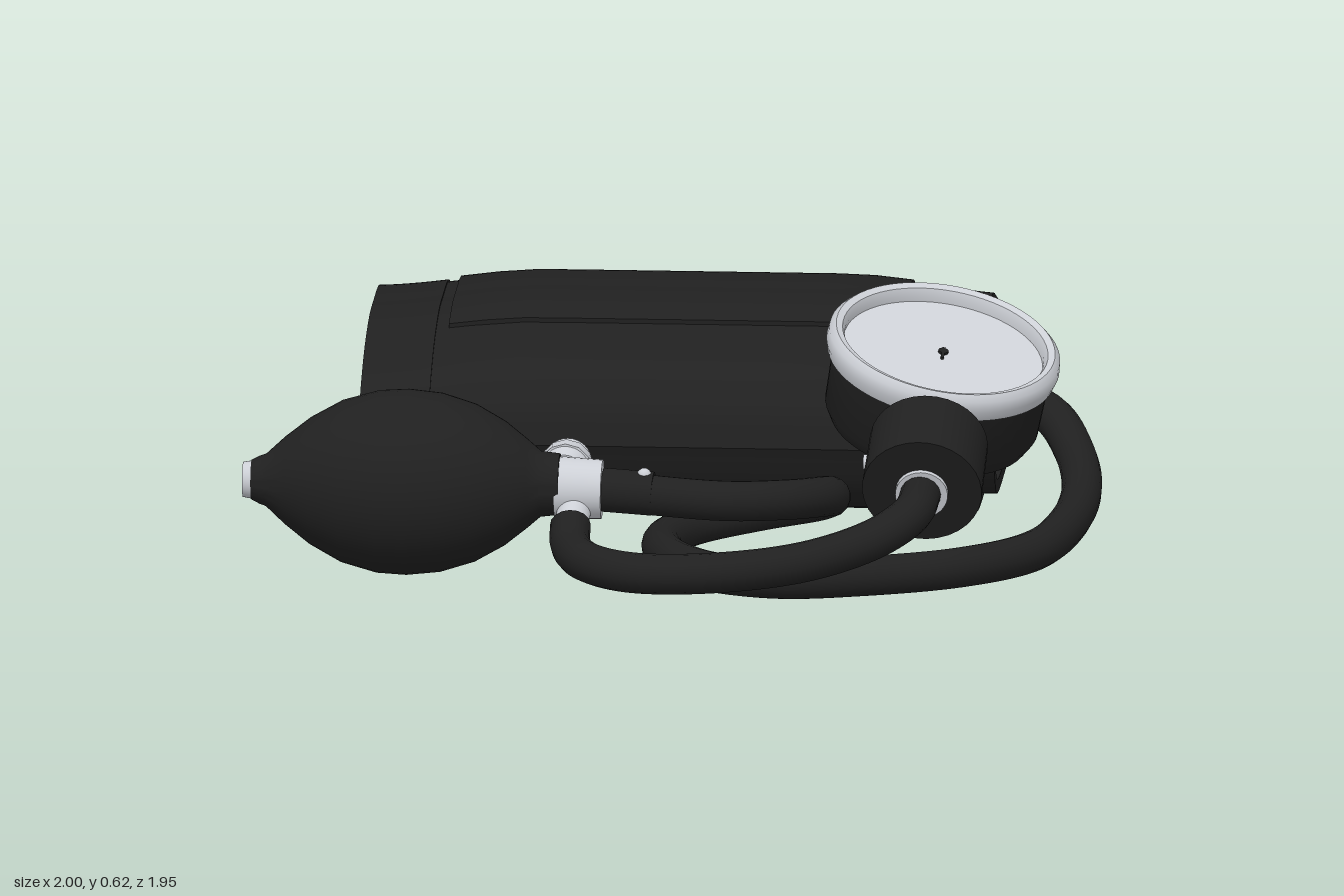
import * as THREE from 'three';
import { toCreasedNormals } from 'three/addons/utils/BufferGeometryUtils.js';

const V = (x, y, z) => new THREE.Vector3(x, y, z);
const UP = V(0, 1, 0);

const black = new THREE.MeshStandardMaterial({ color: 0x202020 });
black.name = 'black rubber and cloth';
const silver = new THREE.MeshStandardMaterial({ color: 0xcccfd5 });
silver.name = 'silver metal';
const dialGrey = new THREE.MeshStandardMaterial({ color: 0xced1d7 });
dialGrey.name = 'dial grey';

function add(parent, name, geometry, material) {
  const mesh = new THREE.Mesh(geometry, material);
  mesh.name = name;
  parent.add(mesh);
  return mesh;
}

// Cylinder or cone running from point a to point b
function rod(parent, name, a, b, ra, rb, material, sides = 32) {
  const mesh = add(parent, name, new THREE.CylinderGeometry(rb, ra, a.distanceTo(b), sides), material);
  mesh.position.copy(a).lerp(b, 0.5);
  mesh.quaternion.setFromUnitVectors(UP, b.clone().sub(a).normalize());
}

function tube(parent, name, points, radius, material, segments = 60) {
  const curve = new THREE.CatmullRomCurve3(points.map(p => V(...p)));
  add(parent, name, new THREE.TubeGeometry(curve, segments, radius, 16), material);
}

function lathe(profile, segments = 48) {
  const geo = new THREE.LatheGeometry(profile.map(p => new THREE.Vector2(...p)), segments);
  return toCreasedNormals(geo, 0.7);
}

// Rolled cuff outline, as (-z, y)
const outline = new THREE.SplineCurve([
  [-0.12, 0.22], [-0.08, 0.33], [0.07, 0.43], [0.25, 0.482], [0.4, 0.488], [0.57, 0.484], [0.67, 0.455],
  [0.83, 0.385], [0.95, 0.28], [0.97, 0.19], [0.91, 0.09], [0.8, 0.045], [0.4, 0.035], [0.05, 0.04],
  [-0.06, 0.1], [-0.12, 0.22],
].map(p => new THREE.Vector2(...p))).getPoints(90).slice(0, -1).reverse();

const scaled = (points, su, sv) =>
  points.map(p => new THREE.Vector2(0.42 + (p.x - 0.42) * su, 0.24 + (p.y - 0.24) * sv));

// Extrude along x, then sag the cloth towards its ends
function cloth(shape, x0, x1) {
  const geo = new THREE.ExtrudeGeometry(shape, { depth: x1 - x0, steps: 12, bevelEnabled: false });
  geo.rotateY(Math.PI / 2).translate(x0, 0, 0);
  const pos = geo.attributes.position;
  for (let i = 0; i < pos.count; i++) {
    const t = THREE.MathUtils.smoothstep(Math.abs(pos.getX(i)), 0.35, 0.78);
    const y = pos.getY(i);
    if (y > 0.2) pos.setY(i, y - (y - 0.2) * 0.14 * t);
  }
  return toCreasedNormals(geo, 0.6);
}

function sleeve(parent, name, x0, x1, outer, inner) {
  const shape = new THREE.Shape(scaled(outline, ...outer));
  shape.holes.push(new THREE.Path(scaled(outline, ...inner).reverse()));
  add(parent, name, cloth(shape, x0, x1), black);
}

function makeCuff() {
  const cuff = new THREE.Group();
  cuff.name = 'cuff';
  sleeve(cuff, 'outerWrap', -0.745, 0.69, [0.99, 0.98], [0.93, 0.84]);
  sleeve(cuff, 'middleWrap', -0.6, 0.745, [0.915, 0.81], [0.855, 0.66]);
  sleeve(cuff, 'innerWrap', 0.1, 0.72, [0.845, 0.64], [0.79, 0.55]);
  sleeve(cuff, 'leftEndSpacer', 0.5, 0.66, [0.94, 0.85], [0.9, 0.78]);
  // Bound hems
  sleeve(cuff, 'rightHem', -0.755, -0.59, [1, 1], [0.925, 0.83]);
  sleeve(cuff, 'leftHem', 0.55, 0.7, [1, 1], [0.925, 0.83]);
  // Raised patch sewn on the top
  const top = outline.filter(p => p.y > 0.3 && p.x > 0.13 && p.x < 0.66);
  const patch = new THREE.Shape([...scaled(top, 1, 1.025), ...scaled(top, 1, 0.95).reverse()]);
  add(cuff, 'topPatch', cloth(patch, -0.56, 0.51), black);
  // Port, inner hose and metal hook at the open end
  rod(cuff, 'hosePort', V(0.66, 0.24, -0.38), V(0.77, 0.25, -0.37), 0.085, 0.075, black);
  tube(cuff, 'innerHose', [[0.5, 0.2, -0.81], [0.68, 0.2, -0.82], [0.755, 0.2, -0.76], [0.765, 0.18, -0.65],
    [0.72, 0.16, -0.53], [0.5, 0.15, -0.46]], 0.047, black, 40);
  tube(cuff, 'metalHook', [[0.7, 0.34, -0.42], [0.75, 0.33, -0.43], [0.77, 0.27, -0.47], [0.775, 0.25, -0.52],
    [0.77, 0.25, -0.59], [0.71, 0.25, -0.6]], 0.016, silver, 30);
  return cuff;
}

function makeBulb() {
  const bulb = new THREE.Group();
  bulb.name = 'pumpBulb';
  const body = lathe([[0, -0.98], [0.045, -0.98], [0.055, -0.96], [0.06, -0.945], [0.1, -0.9], [0.145, -0.84],
    [0.185, -0.765], [0.208, -0.68], [0.212, -0.61], [0.204, -0.53], [0.18, -0.45], [0.142, -0.38],
    [0.1, -0.325], [0.075, -0.295], [0.07, -0.25], [0, -0.25]]);
  add(bulb, 'bulbBody', body.rotateZ(-Math.PI / 2), black);
  rod(bulb, 'airInlet', V(-1, 0, 0), V(-0.97, 0, 0), 0.04, 0.045, silver);
  bulb.position.set(0, 0.225, 0.54);
  bulb.scale.y = 1.04;
  return bulb;
}

function makeValve() {
  const valve = new THREE.Group();
  valve.name = 'releaseValve';
  rod(valve, 'valveCollar', V(-0.26, 0.215, 0.535), V(-0.15, 0.213, 0.535), 0.075, 0.07, silver);
  rod(valve, 'valveStem', V(-0.215, 0.21, 0.5), V(-0.25, 0.215, 0.36), 0.035, 0.035, silver);
  rod(valve, 'knobBase', V(-0.25, 0.215, 0.385), V(-0.25, 0.215, 0.35), 0.045, 0.058, silver);
  rod(valve, 'knob', V(-0.25, 0.215, 0.35), V(-0.25, 0.215, 0.3), 0.064, 0.064, silver, 12);
  rod(valve, 'knobCap', V(-0.25, 0.215, 0.3), V(-0.25, 0.215, 0.258), 0.052, 0.057, silver);
  rod(valve, 'hoseOutlet', V(-0.21, 0.19, 0.55), V(-0.22, 0.135, 0.635), 0.04, 0.04, silver);
  return valve;
}

function makeGauge() {
  const gauge = new THREE.Group();
  gauge.name = 'gauge';
  const head = new THREE.Group();
  head.name = 'gaugeHead';
  add(head, 'gaugeBody', lathe([[0, -0.225], [0.2, -0.225], [0.238, -0.212], [0.255, -0.18], [0.26, -0.02],
    [0.24, -0.02]]), black);
  add(head, 'gaugeRim', lathe([[0.25, -0.045], [0.272, -0.04], [0.279, -0.015], [0.276, 0.012], [0.262, 0.026],
    [0.246, 0.02], [0.238, 0.002], [0.238, -0.03]], 64), silver);
  const dial = add(head, 'dial', new THREE.CircleGeometry(0.242, 64).rotateX(-Math.PI / 2), dialGrey);
  dial.position.y = -0.012;
  rod(head, 'needleHub', V(0, -0.014, 0), V(0, -0.006, 0), 0.012, 0.012, black, 16);
  const needle = add(head, 'needle', new THREE.BoxGeometry(0.008, 0.006, 0.05), black);
  needle.position.set(0, -0.009, 0.01);
  head.position.set(0.645, 0.52, 0.328);
  head.quaternion.setFromUnitVectors(UP, V(0.19, 1, 0.28).normalize());
  gauge.add(head);
  // Hose socket at the front of the gauge
  rod(gauge, 'socketNeck', V(0.635, 0.335, 0.47), V(0.625, 0.325, 0.6), 0.095, 0.125, black);
  rod(gauge, 'socket', V(0.625, 0.342, 0.56), V(0.62, 0.266, 0.732), 0.14, 0.142, black);
  rod(gauge, 'socketRing', V(0.62, 0.27, 0.715), V(0.62, 0.259, 0.748), 0.062, 0.062, silver);
  rod(gauge, 'socketScrew', V(0.5, 0.31, 0.63), V(0.475, 0.31, 0.63), 0.02, 0.018, silver, 16);
  return gauge;
}

export function createModel() {
  const model = new THREE.Group();
  model.name = 'bloodPressureMonitor';
  model.add(makeCuff(), makeBulb(), makeValve(), makeGauge());
  // Long looping hose from the valve to the cuff
  tube(model, 'cuffHose', [[-0.14, 0.212, 0.535], [0, 0.2, 0.545], [0.15, 0.19, 0.54], [0.29, 0.18, 0.47],
    [0.375, 0.16, 0.34], [0.335, 0.12, 0.22], [0.2, 0.085, 0.175], [0.05, 0.065, 0.25], [-0.015, 0.06, 0.41],
    [0.025, 0.06, 0.6], [0.13, 0.06, 0.73], [0.29, 0.06, 0.787], [0.48, 0.06, 0.745], [0.7, 0.06, 0.64],
    [0.86, 0.06, 0.46], [0.93, 0.075, 0.23], [0.95, 0.11, 0.02], [0.92, 0.16, -0.17], [0.85, 0.22, -0.31],
    [0.74, 0.25, -0.37]], 0.048, black, 160);
  rod(model, 'hoseSleeve', V(-0.15, 0.212, 0.535), V(-0.03, 0.205, 0.54), 0.052, 0.052, black);
  const rivet = add(model, 'hoseRivet', new THREE.SphereGeometry(0.018, 12, 8), silver);
  rivet.position.set(-0.05, 0.25, 0.545);
  // Short hose from the valve to the gauge
  tube(model, 'gaugeHose', [[-0.22, 0.145, 0.62], [-0.215, 0.11, 0.68], [-0.17, 0.095, 0.79], [-0.06, 0.09, 0.875],
    [0.14, 0.1, 0.91], [0.36, 0.135, 0.925], [0.52, 0.19, 0.915], [0.6, 0.235, 0.86], [0.62, 0.265, 0.73]],
  0.048, black, 80);
  return model;
}
